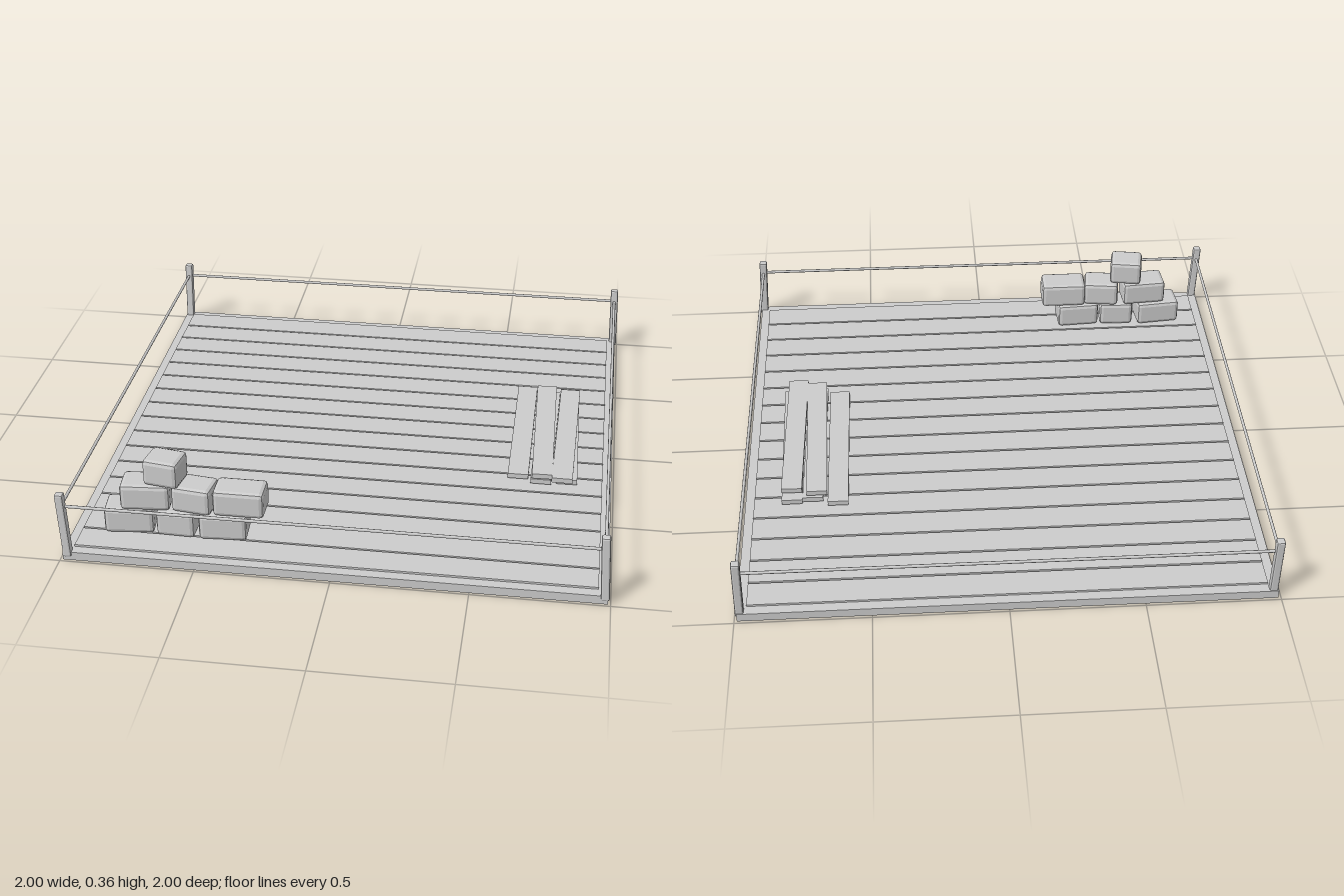
import * as THREE from 'three';
import { RoundedBoxGeometry } from 'three/addons/geometries/RoundedBoxGeometry.js';

export function createModel() {
  const model = new THREE.Group();
  model.name = 'fencedPlatform';
  const grey = new THREE.MeshStandardMaterial({ color: 0xcccccc });
  grey.name = 'plainGrey';

  function add(parent, name, geometry, x, y, z, turn = 0) {
    const mesh = new THREE.Mesh(geometry, grey);
    mesh.name = name;
    mesh.position.set(x, y, z);
    mesh.rotation.y = turn;
    parent.add(mesh);
    return mesh;
  }
  function group(name) {
    const g = new THREE.Group();
    g.name = name;
    model.add(g);
    return g;
  }
  // Box with flat chamfered edges
  function chamferBox(w, h, d, bevel) {
    const geometry = new RoundedBoxGeometry(w, h, d, 1, bevel);
    geometry.computeVertexNormals();
    return geometry;
  }
  // Turns a mesh's y axis along the line from a to b
  function alignTo(mesh, a, b) {
    mesh.position.copy(a).add(b).multiplyScalar(0.5);
    const dir = b.clone().sub(a).normalize();
    mesh.quaternion.setFromUnitVectors(new THREE.Vector3(0, 1, 0), dir);
  }

  // Base slab and the floorboards laid on it
  const deck = group('deck');
  add(deck, 'base', new THREE.BoxGeometry(1.98, 0.034, 1.98), 0, 0.017, 0);
  const boards = 16, pitch = 1.91 / boards;
  for (let i = 0; i < boards; i++) {
    add(deck, 'floorboard', new THREE.BoxGeometry(1.91, 0.012, pitch - 0.008),
      0, 0.036, (i - (boards - 1) / 2) * pitch);
  }

  // Corner posts, each leaning a little: foot x, foot z, lean x, lean z
  const fence = group('fence');
  const posts = [
    [-0.972, 0.98, -0.012, 0],
    [0.98, 0.98, -0.014, 0],
    [0.98, -0.97, -0.008, -0.014],
    [-0.972, -0.97, 0, -0.016],
  ];
  const ropeEnds = posts.map(([x, z, dx, dz]) => {
    const foot = new THREE.Vector3(x, 0.015, z);
    const tip = new THREE.Vector3(x + dx, 0.28, z + dz);
    const post = add(fence, 'cornerPost', chamferBox(0.032, 0.265, 0.032, 0.007), 0, 0, 0);
    alignTo(post, foot, tip);
    return foot.lerp(tip, 0.8);
  });

  // Ropes strung between neighbouring posts
  ropeEnds.forEach((a, i) => {
    const b = ropeEnds[(i + 1) % ropeEnds.length];
    const rope = add(fence, 'rope', new THREE.CylinderGeometry(0.006, 0.006, a.distanceTo(b), 8), 0, 0, 0);
    alignTo(rope, a, b);
  });

  // Stacked stone blocks: width, x, row, turn
  const stack = group('blockStack');
  const blocks = [
    [0.185, -0.778, 0, 0.1], [0.145, -0.597, 0, -0.03], [0.178, -0.424, 0, 0.06],
    [0.185, -0.712, 1, 0.08], [0.15, -0.53, 1, -0.13], [0.19, -0.36, 1, 0],
    [0.135, -0.637, 2, -0.16],
  ];
  for (const [w, x, row, turn] of blocks) {
    add(stack, 'block', chamferBox(w, 0.104, 0.118, 0.016), x, 0.096 + row * 0.105, 0.797, turn);
  }

  // Loose planks in two layers: x, z, layer, turn
  const pile = group('plankPile');
  const planks = [
    [0.628, -0.073, 0, 0], [0.722, -0.045, 0, -0.012], [0.812, -0.056, 0, 0.016],
    [0.716, -0.04, 1, 0.018], [0.804, -0.02, 1, -0.012],
  ];
  for (const [x, z, layer, turn] of planks) {
    add(pile, 'plank', new THREE.BoxGeometry(0.08, 0.02, 0.706), x, 0.058 + layer * 0.027, z, turn);
  }

  return model;
}
